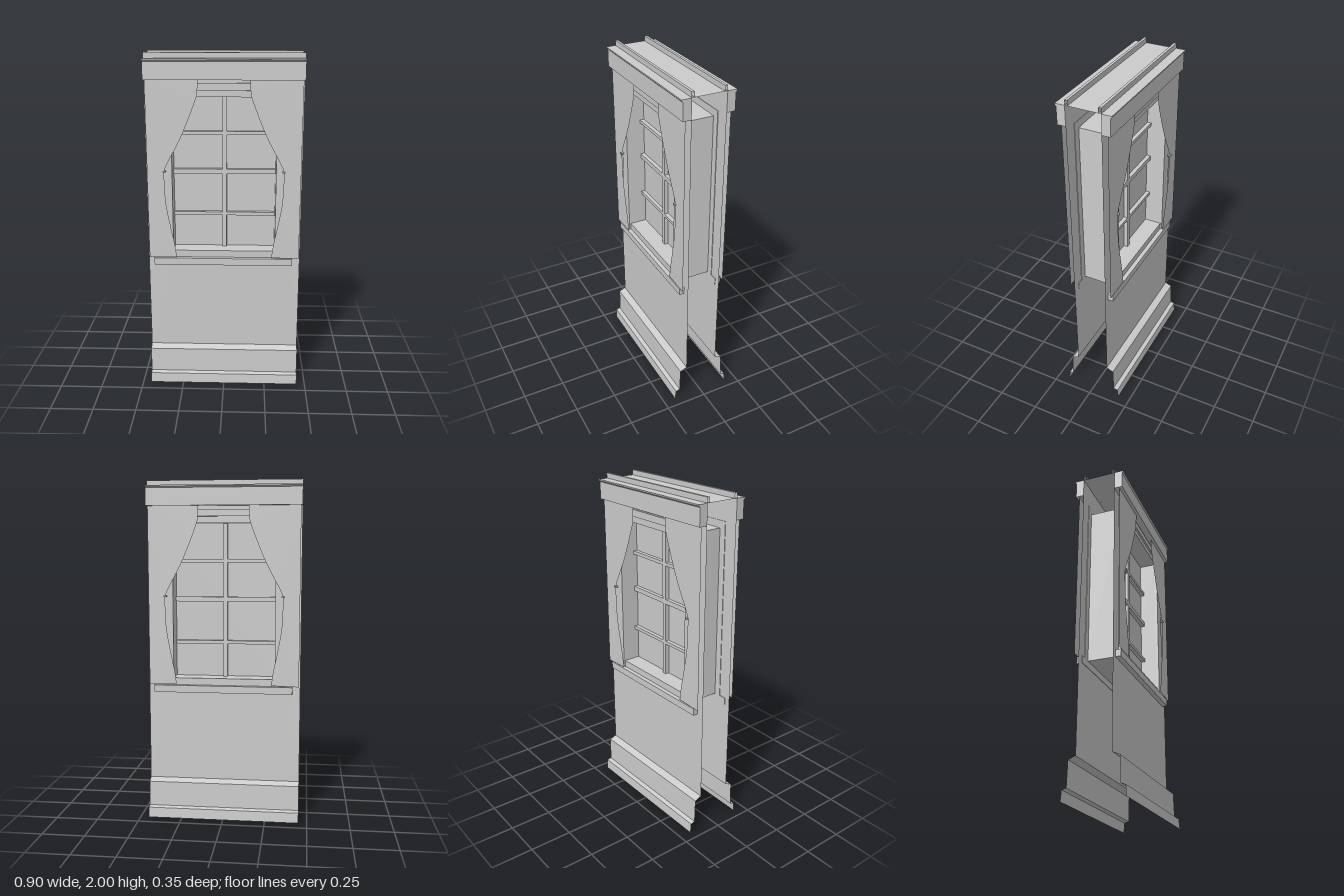
import * as THREE from 'three';

const grey = new THREE.MeshStandardMaterial({ color: 0xcccccc, flatShading: true });
const sheet = new THREE.MeshStandardMaterial({ color: 0xcccccc, flatShading: true, side: THREE.DoubleSide });
const glassMat = new THREE.MeshStandardMaterial({ color: 0xffffff, side: THREE.DoubleSide });
const HALF = 0.45; // half width of the wall section

function add(parent, name, geometry, material = grey) {
  const mesh = new THREE.Mesh(geometry, material);
  mesh.name = name;
  parent.add(mesh);
  return mesh;
}

// Box given by its limits on each axis
function box(parent, name, x0, x1, y0, y1, z0, z1) {
  const mesh = add(parent, name, new THREE.BoxGeometry(x1 - x0, y1 - y0, z1 - z0));
  mesh.position.set((x0 + x1) / 2, (y0 + y1) / 2, (z0 + z1) / 2);
  return mesh;
}

// Open sheet swept along x from a [z, y] profile
function sweep(parent, name, profile) {
  const pos = [], index = [];
  profile.forEach(([z, y], i) => {
    pos.push(-HALF, y, z, HALF, y, z);
    if (i) {
      const a = 2 * i - 2;
      index.push(a, a + 2, a + 1, a + 1, a + 2, a + 3);
    }
  });
  const g = new THREE.BufferGeometry();
  g.setAttribute('position', new THREE.Float32BufferAttribute(pos, 3));
  g.setIndex(index);
  g.computeVertexNormals();
  return add(parent, name, g, sheet);
}

// Everything on one face of the wall
function createSide() {
  const side = new THREE.Group();

  // Wall sheet with the window opening
  const wall = new THREE.Shape([[-HALF, 0.23], [HALF, 0.23], [HALF, 2], [-HALF, 2]]
    .map(p => new THREE.Vector2(...p)));
  wall.holes.push(new THREE.Path([[-0.3, 0.81], [-0.3, 1.79], [0.3, 1.79], [0.3, 0.81]]
    .map(p => new THREE.Vector2(...p))));
  add(side, 'wall', new THREE.ShapeGeometry(wall), sheet).position.z = 0.1;

  // Skirting board and top rail
  sweep(side, 'baseboard', [[0.1, 0.23], [0.142, 0.213], [0.146, 0.067], [0.172, 0.06], [0.177, 0]]);
  sweep(side, 'topRail', [[0.1, 2], [0.085, 2], [0.085, 1.97]]);

  // Curtain box, slightly wider at its top edge
  const profile = new THREE.Shape([[0.1, 1.855], [0.149, 1.855], [0.149, 1.955], [0.157, 1.963], [0.157, 1.97], [0.1, 1.97]]
    .map(([z, y]) => new THREE.Vector2(-z, y)));
  const valance = add(side, 'valance', new THREE.ExtrudeGeometry(profile, { depth: 2 * HALF, bevelEnabled: false }));
  valance.rotation.y = Math.PI / 2;
  valance.position.x = -HALF;

  // Window trim and sill
  for (const s of [-1, 1]) {
    box(side, 'sideTrim', s * 0.335 - 0.035, s * 0.335 + 0.035, 0.805, 1.835, 0.097, 0.115);
  }
  box(side, 'topTrim', -0.3, 0.3, 1.795, 1.835, 0.097, 0.115);
  box(side, 'sill', -0.414, 0.404, 0.765, 0.807, 0.097, 0.131);

  // Tied-back curtains
  for (const s of [-1, 1]) {
    const shape = new THREE.Shape();
    shape.moveTo(s * 0.442, 1.87);
    shape.lineTo(s * 0.145, 1.87);
    shape.splineThru([[0.148, 1.8], [0.162, 1.735], [0.241, 1.54], [0.32, 1.39], [0.345, 1.335]]
      .map(([x, y]) => new THREE.Vector2(s * x, y)));
    shape.splineThru([[0.338, 1.153], [0.312, 1.0], [0.292, 0.9], [0.28, 0.815]]
      .map(([x, y]) => new THREE.Vector2(s * x, y)));
    shape.lineTo(s * 0.442, 0.81);
    add(side, 'curtain', new THREE.ShapeGeometry(shape, 6), sheet).position.z = 0.13;
    box(side, 'curtainTie', s * 0.343 - 0.008, s * 0.343 + 0.008, 1.331, 1.339, 0.12, 0.14);
  }
  return side;
}

export function createModel() {
  const model = new THREE.Group();
  model.name = 'wallWithWindow';

  // Both faces are the same, turned half a circle
  const front = createSide();
  front.name = 'frontSide';
  const back = createSide();
  back.name = 'backSide';
  back.rotation.y = Math.PI;
  model.add(front, back);

  // Top deck between the rails
  sweep(model, 'topDeck', [[0.1, 1.97], [-0.1, 1.97]]);

  // Window lining through the wall
  const lining = new THREE.Group();
  lining.name = 'windowLining';
  model.add(lining);
  for (const s of [-1, 1]) {
    box(lining, 'jamb', s * 0.315 - 0.015, s * 0.315 + 0.015, 0.805, 1.793, -0.105, 0.105);
  }
  box(lining, 'windowBase', -0.3, 0.3, 0.805, 0.848, -0.105, 0.105);
  box(lining, 'windowHead', -0.3, 0.3, 1.757, 1.793, -0.105, 0.105);

  // Glass and glazing bars
  add(model, 'glass', new THREE.PlaneGeometry(0.6, 0.91), glassMat).position.y = 1.303;
  box(model, 'verticalBar', -0.013, 0.013, 0.848, 1.757, -0.025, 0.025);
  for (const y of [1.055, 1.313, 1.54]) {
    const h = y === 1.313 ? 0.014 : 0.01;
    box(model, 'horizontalBar', -0.3, 0.3, y - h, y + h, -0.024, 0.024);
  }
  return model;
}
